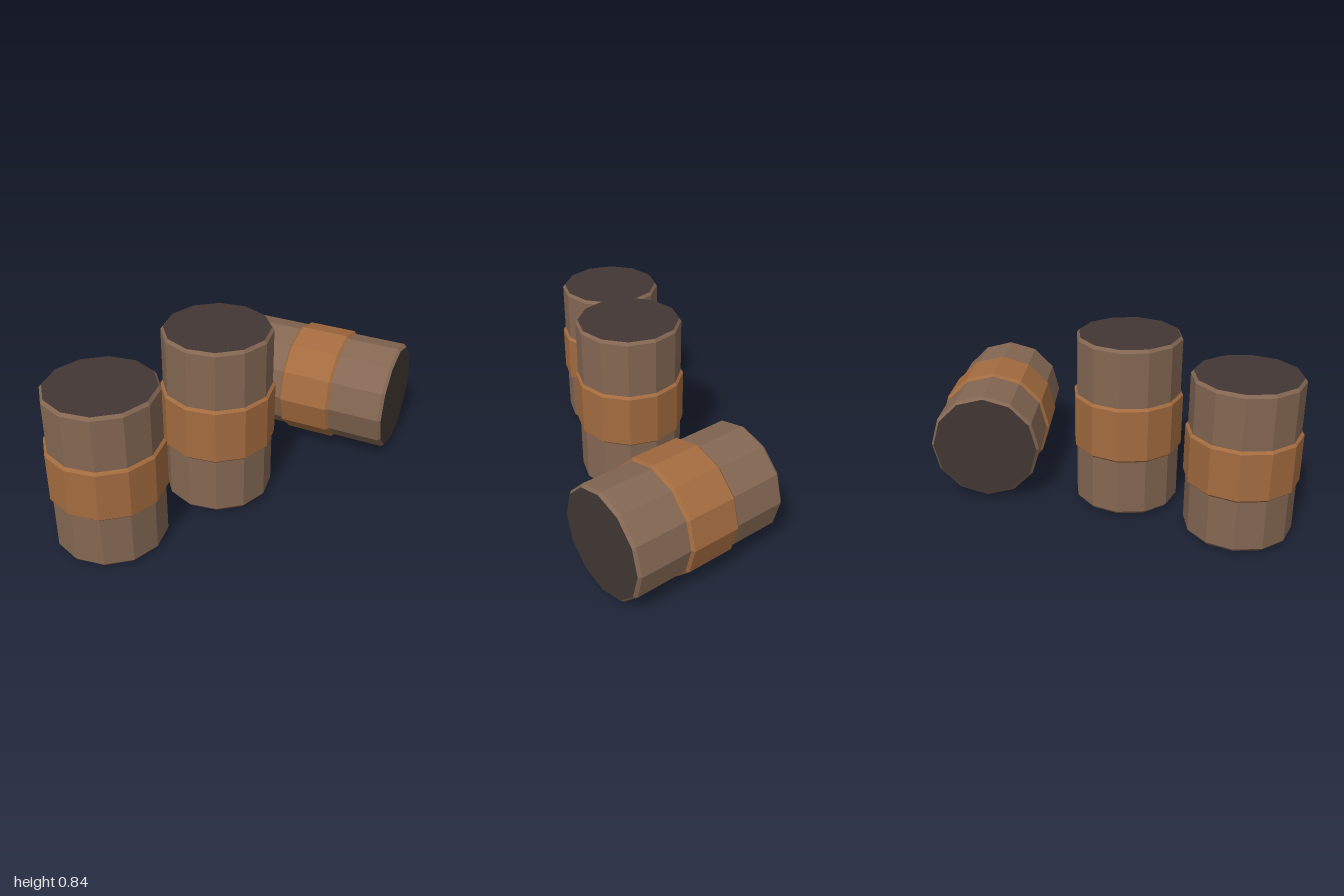
import * as THREE from 'three';

const SIDES = 12;

function material(name, color) {
  const m = new THREE.MeshStandardMaterial({ color, flatShading: true });
  m.name = name;
  return m;
}

export function createModel() {
  const wood = material('brown wood', 0x846753);
  const copper = material('copper band', 0xa36b3f);
  const dark = material('dark lid', 0x423733);

  // Turned twelve-sided shell from [radius, height] pairs, bottom to top
  const shell = (name, points, mat) => {
    const profile = points.map(([r, y]) => new THREE.Vector2(r, y));
    const mesh = new THREE.Mesh(new THREE.LatheGeometry(profile, SIDES), mat);
    mesh.name = name;
    return mesh;
  };

  // Barrel centred on its own middle, axis along y
  const barrel = (name, radius, length) => {
    const group = new THREE.Group();
    group.name = name;
    const half = length / 2, bandHalf = length / 6;
    const lidRadius = radius * 0.955, bevel = 0.014;

    group.add(shell('body', [
      [lidRadius, -half], [radius, -half + bevel],
      [radius, half - bevel], [lidRadius, half],
    ], wood));

    // Raised band around the middle third, bevelled at both rims
    group.add(shell('band', [
      [radius * 0.99, -bandHalf], [radius * 1.048, -bandHalf + bevel],
      [radius * 1.048, bandHalf - bevel], [radius * 0.99, bandHalf],
    ], copper));

    // Flat lid at each end
    for (const side of [1, -1]) {
      const lid = new THREE.Mesh(new THREE.CircleGeometry(lidRadius, SIDES), dark);
      lid.name = side > 0 ? 'topLid' : 'bottomLid';
      lid.rotation.x = -side * Math.PI / 2;
      lid.position.y = side * half;
      group.add(lid);
    }
    return group;
  };

  const model = new THREE.Group();
  model.name = 'barrels';

  const short = barrel('shortBarrel', 0.25, 0.753);
  short.position.set(-0.738, 0.391, 0.25);

  const tall = barrel('tallBarrel', 0.25, 0.829);
  tall.position.set(-0.15, 0.429, 0.15);

  // Barrel lying on its side, turned towards the front left
  const fallen = barrel('fallenBarrel', 0.265, 0.79);
  fallen.rotation.set(Math.PI / 2, 0.638, 0, 'YXZ');
  fallen.position.set(0.557, 0.278, -0.043);

  model.add(short, tall, fallen);
  return model;
}
